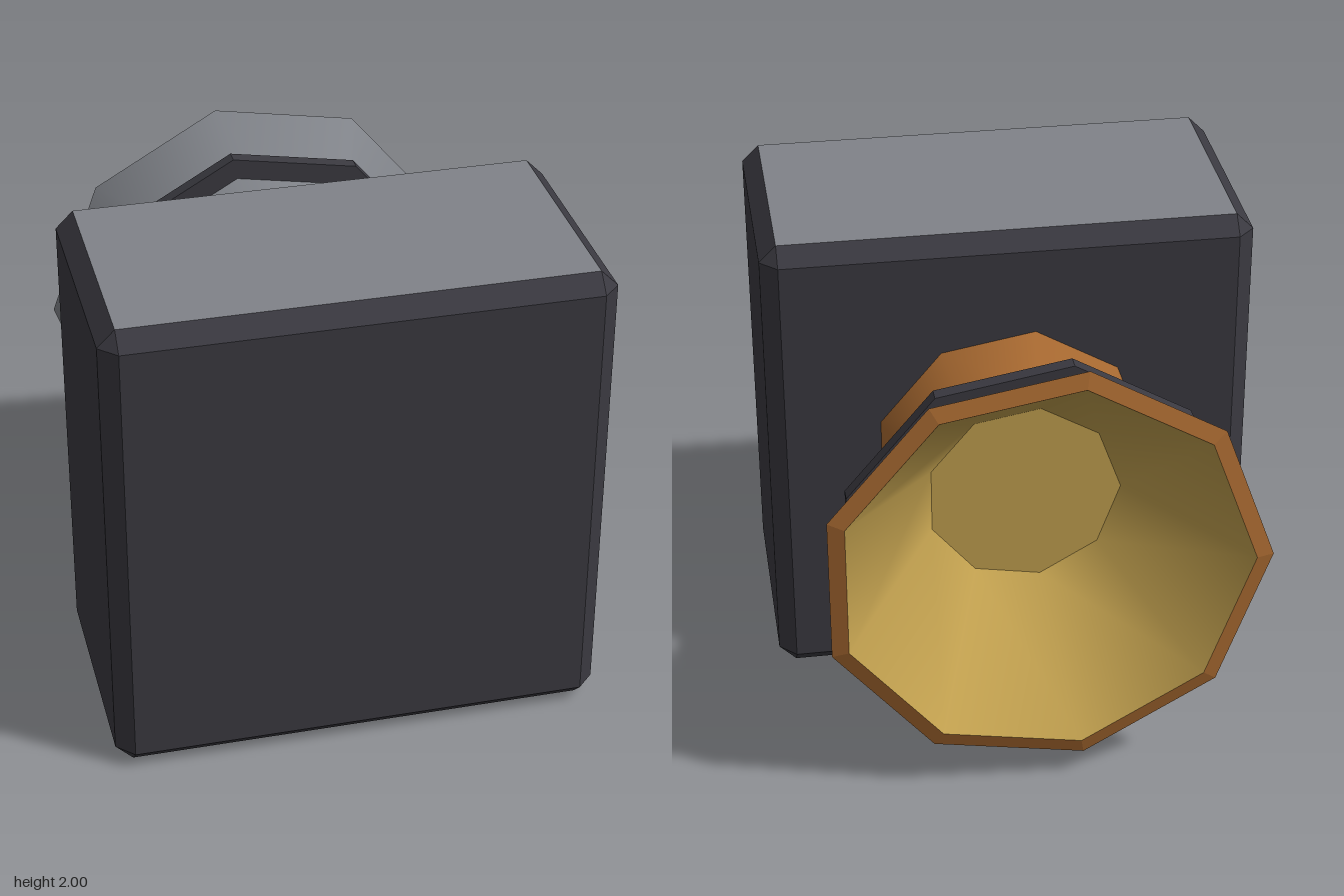
import * as THREE from 'three';
import { ConvexGeometry } from 'three/addons/geometries/ConvexGeometry.js';

const mat = (name, color) => {
  const m = new THREE.MeshStandardMaterial({ color });
  m.name = name;
  return m;
};

// Box with every edge chamfered; group 0 = sides and bevels, group 1 = top and bottom
function chamferedBox(w, h, d, c) {
  const pts = [];
  for (const sx of [-1, 1]) for (const sy of [-1, 1]) for (const sz of [-1, 1]) {
    const x = w / 2, y = h / 2, z = d / 2;
    pts.push(
      new THREE.Vector3(sx * x, sy * (y - c), sz * (z - c)),
      new THREE.Vector3(sx * (x - c), sy * y, sz * (z - c)),
      new THREE.Vector3(sx * (x - c), sy * (y - c), sz * z));
  }
  const geo = new ConvexGeometry(pts);
  const normal = geo.attributes.normal;
  for (let i = 0; i < normal.count; i += 3) {
    geo.addGroup(i, 3, Math.abs(normal.getY(i)) > 0.95 ? 1 : 0);
  }
  return geo;
}

export function createModel() {
  const dark = mat('charcoal', 0x3a3940);
  const grey = mat('steel grey', 0x808389);
  const orange = mat('copper', 0xa66830);
  const yellow = mat('brass', 0xc09f4e);

  const model = new THREE.Group();
  model.name = 'hornBlock';

  // Block
  const block = new THREE.Mesh(chamferedBox(2, 2, 1.08, 0.07), [dark, grey]);
  block.name = 'block';
  block.position.set(0, 1, 0.46);
  model.add(block);

  // Horn: nine-sided turned parts along -z, profile points are [radius, distance behind origin]
  const horn = new THREE.Group();
  horn.name = 'horn';
  horn.position.y = 1;
  model.add(horn);

  const turned = (name, profile, material, flat = false) => {
    let geo = new THREE.LatheGeometry(
      profile.map(([r, d]) => new THREE.Vector2(r, d)), 9, -Math.PI / 2);
    if (flat) {
      geo = geo.toNonIndexed();
      geo.computeVertexNormals();
    }
    geo.rotateX(-Math.PI / 2);
    const mesh = new THREE.Mesh(geo, material);
    mesh.name = name;
    horn.add(mesh);
  };

  turned('neck', [[0.575, 0.08], [0.46, 0.345]], orange);
  turned('bell', [[0.46, 0.345], [0.9, 0.98]], grey);
  turned('bellLip', [[0.9, 0.98], [0.83, 1]], orange, true);
  turned('bellInside', [[0.83, 1], [0.4, 0.4]], yellow);
  turned('throat', [[0.4, 0.4], [0, 0.4]], yellow, true);

  // Raised bands around the bell
  for (const [inner, outer, d] of [[0.49, 0.622, 0.43], [0.68, 0.798, 0.7]]) {
    turned('band', [[inner, d], [outer, d], [outer, d + 0.06], [inner, d + 0.06]], dark, true);
  }
  return model;
}
